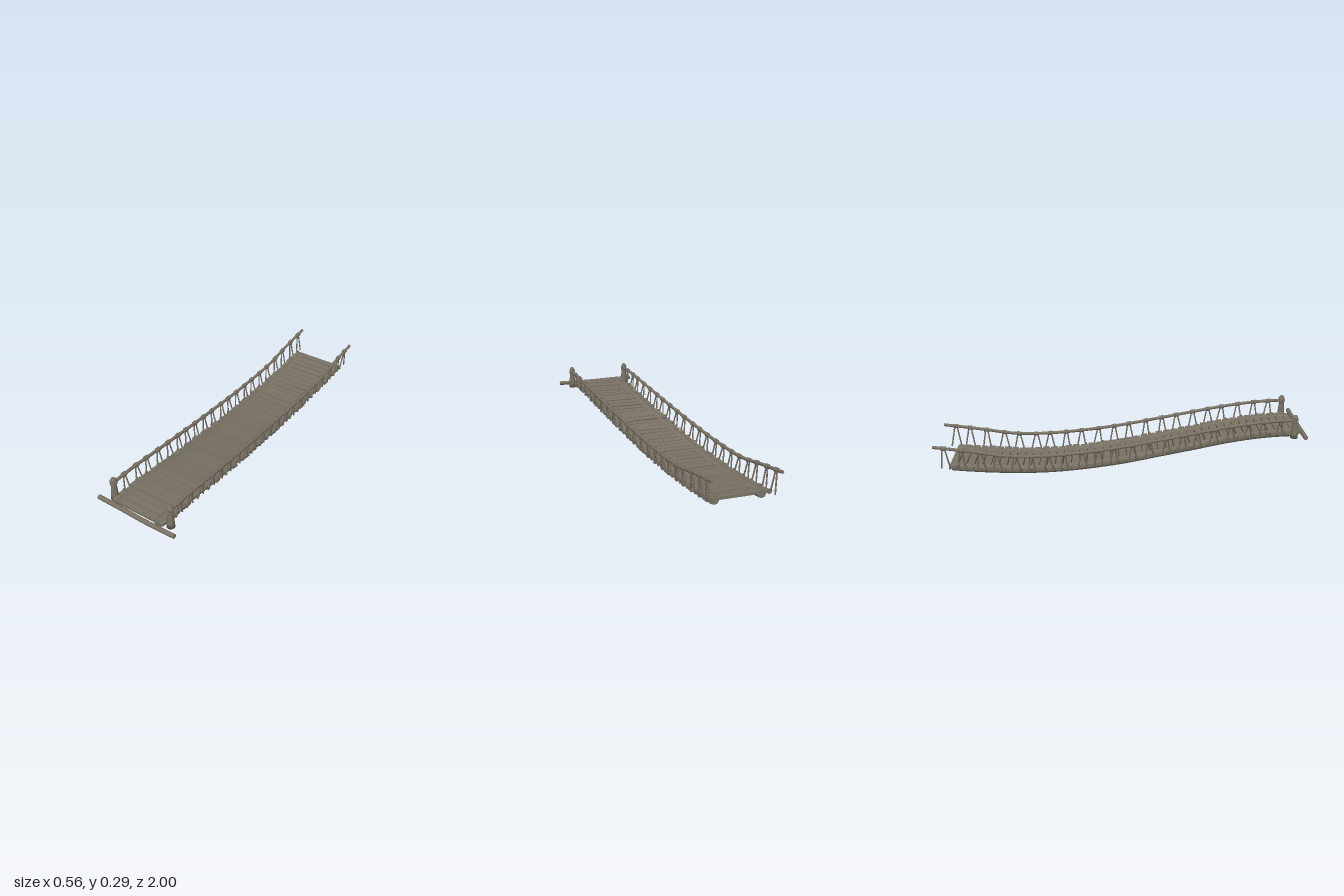
import * as THREE from 'three';

// Bridge line, one row every 0.2 in z from front (+1) to back (-1): [centre x, deck height, hand rope height]
const LINE = [
  [0.04, 0.184, 0.262], [0.032, 0.178, 0.257], [0.02, 0.157, 0.236], [0.0, 0.125, 0.207],
  [-0.022, 0.094, 0.177], [-0.045, 0.064, 0.149], [-0.063, 0.043, 0.128], [-0.078, 0.032, 0.116],
  [-0.087, 0.034, 0.119], [-0.092, 0.046, 0.15], [-0.095, 0.066, 0.177],
];
const path = (col) => new THREE.CatmullRomCurve3(
  LINE.map((r, i) => new THREE.Vector3(r[0], r[col], 1 - i * 0.2)), false, 'catmullrom', 0.5);
const deckPath = path(1), ropePath = path(2);
const at = (curve, z, dx = 0, dy = 0) => {
  const p = curve.getPoint(THREE.MathUtils.clamp((1 - z) / 2, 0, 1));
  return new THREE.Vector3(p.x + dx, p.y + dy, z);
};

export function createModel() {
  const model = new THREE.Group();
  model.name = 'ropeBridge';
  const wood = new THREE.MeshStandardMaterial({ name: 'weathered wood', color: 0x7a7265 });
  const shade = new THREE.MeshStandardMaterial({ name: 'dark underside', color: 0x4f493f, side: THREE.DoubleSide });

  let seed = 7;
  const rnd = (a) => {
    seed = (seed * 16807) % 2147483647;
    return (seed / 2147483647 - 0.5) * 2 * a;
  };
  const add = (name, geo, mat = wood, parent = model) => {
    const m = new THREE.Mesh(geo, mat);
    m.name = name;
    parent.add(m);
    return m;
  };
  const UP = new THREE.Vector3(0, 1, 0);
  const rod = (name, a, b, r0, r1, sides, parent = model) => {
    const d = b.clone().sub(a);
    const m = add(name, new THREE.CylinderGeometry(r1, r0, d.length(), sides), wood, parent);
    m.position.copy(a).addScaledVector(d, 0.5);
    m.quaternion.setFromUnitVectors(UP, d.normalize());
    return m;
  };
  // Tube along part of the bridge line, with closed ends
  const cable = (name, curve, z0, z1, dx, dy, r, parent) => {
    const pts = Array.from({ length: 25 }, (_, i) => at(curve, z0 + (z1 - z0) * i / 24, dx, dy));
    const line = new THREE.CatmullRomCurve3(pts);
    add(name, new THREE.TubeGeometry(line, 72, r, 10), wood, parent);
    [[0, -1], [1, 1]].forEach(([t, s]) => {
      const cap = add(name + 'End', new THREE.CircleGeometry(r, 10), wood, parent);
      cap.position.copy(line.getPoint(t));
      cap.quaternion.setFromUnitVectors(new THREE.Vector3(0, 0, 1), line.getTangent(t).multiplyScalar(s));
    });
  };

  // Deck planks, pitched to follow the sag
  const planks = new THREE.Group();
  planks.name = 'planks';
  model.add(planks);
  const COUNT = 44, Z0 = 0.945, Z1 = -0.9, step = (Z0 - Z1) / (COUNT - 1);
  for (let i = 0; i < COUNT; i++) {
    const z = Z0 - i * step;
    const a = at(deckPath, z + 0.02), b = at(deckPath, z - 0.02);
    const p = add('plank', new THREE.BoxGeometry(0.322 + rnd(0.008), 0.014, step - 0.006 + rnd(0.002)), wood, planks);
    p.position.copy(at(deckPath, z, rnd(0.004), rnd(0.0015)));
    p.rotation.set(Math.atan2(b.y - a.y, 0.04) + rnd(0.05), rnd(0.012), rnd(0.008));
  }

  // Continuous underside strip that closes the gaps
  const strip = new THREE.PlaneGeometry(0.31, 1, 1, 40);
  const sp = strip.attributes.position;
  for (let i = 0; i < sp.count; i++) {
    const p = at(deckPath, 0.022 + sp.getY(i) * -1.86, sp.getX(i), -0.007);
    sp.setXYZ(i, p.x, p.y, p.z);
  }
  strip.computeVertexNormals();
  add('deckUnderside', strip, shade);

  // Front cross log, slightly bowed
  const logPts = [[-0.195, 0.18, 0.981], [-0.05, 0.178, 0.983], [0.1, 0.175, 0.986], [0.28, 0.178, 0.987]]
    .map((p) => new THREE.Vector3(...p));
  add('crossLog', new THREE.TubeGeometry(new THREE.CatmullRomCurve3(logPts), 16, 0.012, 10));
  [[0, -1], [3, 1]].forEach(([i, s]) => {
    const cap = add('crossLogEnd', new THREE.CircleGeometry(0.012, 10));
    cap.position.copy(logPts[i]);
    cap.rotation.y = s * Math.PI / 2;
  });

  const postProfile = [[0, 0], [0.021, 0], [0.0195, 0.025], [0.015, 0.075], [0.0135, 0.1], [0.0155, 0.106],
    [0.0155, 0.113], [0.012, 0.123], [0.006, 0.129], [0, 0.13]].map(([x, y]) => new THREE.Vector2(x, y));

  for (const side of [-1, 1]) {
    const rail = new THREE.Group();
    rail.name = side > 0 ? 'leftRail' : 'rightRail';
    model.add(rail);
    const dx = side * 0.175;

    // Support beam below the deck and hand rope above it
    cable('supportBeam', deckPath, 0.96, -0.91, side * 0.121, -0.01, 0.022, rail);
    cable('handRope', ropePath, 0.93, -0.997, dx, 0, 0.0085, rail);

    // Post with rope wrapped round its neck
    const post = add('post', new THREE.LatheGeometry(postProfile, 16), wood, rail);
    post.position.copy(at(deckPath, 0.93, dx, -0.021));
    for (let k = 0; k < 3; k++) {
      const ring = add('postWrap', new THREE.TorusGeometry(0.0145, 0.0042, 6, 18), wood, rail);
      ring.position.copy(post.position).add(new THREE.Vector3(0, 0.091 + k * 0.009, 0));
      ring.rotation.set(Math.PI / 2 + rnd(0.15), rnd(0.15), 0);
    }

    // Knots on the hand rope, each with a splayed pair of hanger cords
    for (let i = 0; i < 21; i++) {
      const z = 0.855 - i * 0.0895 + rnd(0.008);
      const top = at(ropePath, z, dx);
      const ahead = at(ropePath, z - 0.012, dx), behind = at(ropePath, z + 0.012, dx);
      rod('knot', behind, ahead, 0.0125, 0.0125, 8, rail);
      for (const s of [-1, 1]) {
        const foot = at(deckPath, z + s * 0.024 + rnd(0.006), side * 0.163, -0.009);
        rod('hanger', foot, top.clone().add(new THREE.Vector3(0, 0, s * 0.006)), 0.004, 0.004, 6, rail);
      }
      // Cord loop where the hangers tie to the deck edge
      const tie = add('deckTie', new THREE.TorusGeometry(0.011, 0.0035, 5, 10), wood, rail);
      tie.position.copy(at(deckPath, z + 0.024, side * 0.157));
    }
  }
  return model;
}
